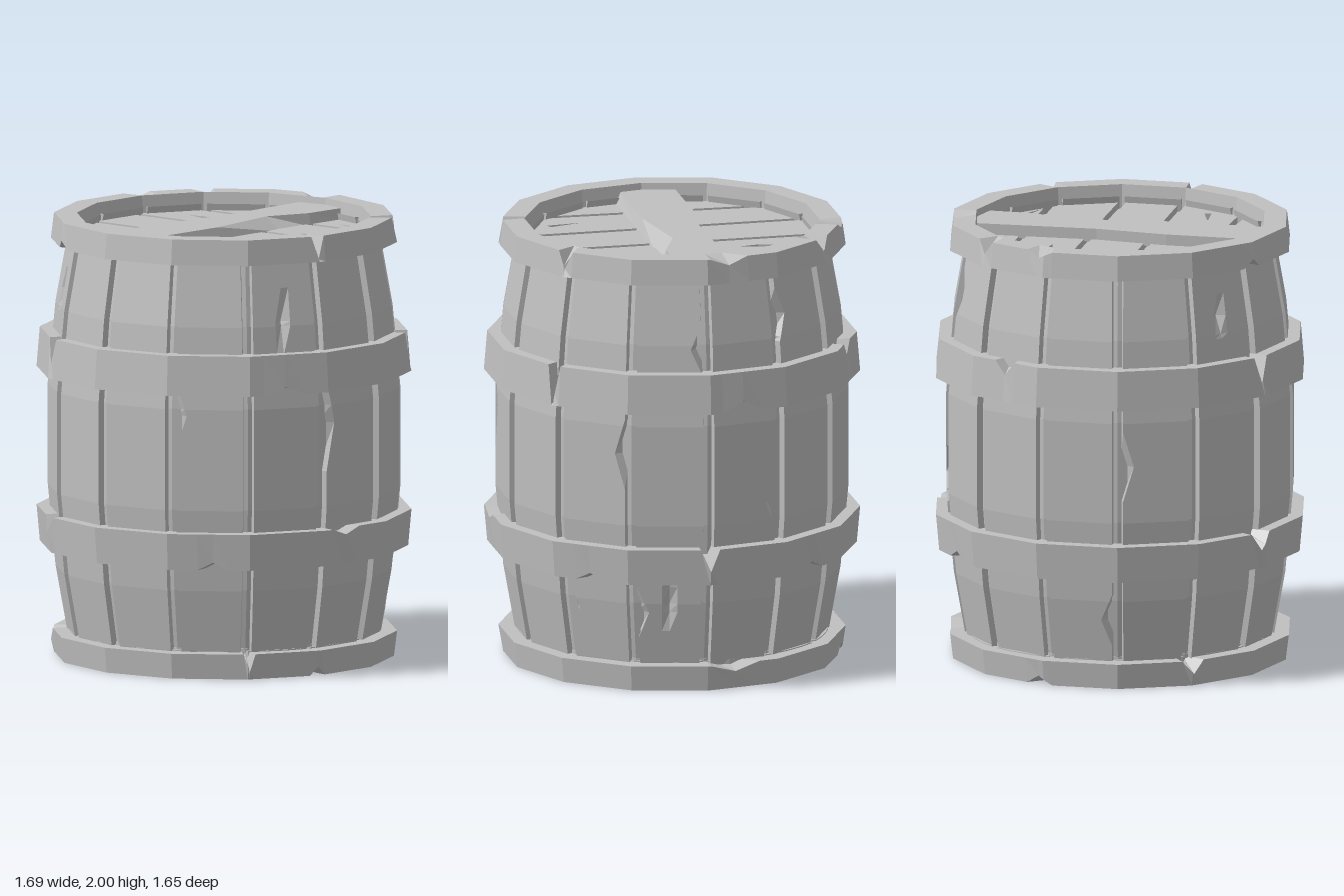
import * as THREE from 'three';

const SIDES = 14, STEP = (Math.PI * 2) / SIDES, DEG = Math.PI / 180;
const wood = new THREE.MeshStandardMaterial({ color: 0xc0c0c0, flatShading: true });
wood.name = 'grey wood';

function addMesh(parent, geometry, name) {
  const mesh = new THREE.Mesh(geometry, wood);
  mesh.name = name;
  parent.add(mesh);
  return mesh;
}

// Skins consecutive closed cross-sections with flat quads
function loft(sections, closed) {
  const pos = [];
  const last = closed ? sections.length : sections.length - 1;
  for (let i = 0; i < last; i++) {
    const s = sections[i], n = sections[(i + 1) % sections.length];
    for (let j = 0; j < s.length; j++) {
      const k = (j + 1) % s.length;
      pos.push(...s[j], ...s[k], ...n[k], ...s[j], ...n[k], ...n[j]);
    }
  }
  const g = new THREE.BufferGeometry();
  g.setAttribute('position', new THREE.Float32BufferAttribute(pos, 3));
  g.computeVertexNormals();
  return g;
}

// Distance from the axis to the side of the polygon at angle a
function polygonRadius(r, a) {
  const off = (((a % STEP) + STEP) % STEP) - STEP / 2;
  return (r * Math.cos(STEP / 2)) / Math.cos(off);
}

// Hoop with V nicks; each nick is [angle, half width, depth], depth > 0 cuts the top edge
function hoop({ y0, y1, r0, r1, inner, innerEnd = inner, nicks }) {
  const angles = new Set();
  for (let i = 0; i < SIDES; i++) angles.add(i * STEP);
  for (const [a, w] of nicks) for (const d of [-w, 0, w]) angles.add((((a + d) + 360) % 360) * DEG);
  const sections = [...angles].sort((a, b) => a - b).map((a) => {
    let top = y1, bottom = y0;
    for (const [na, w, depth] of nicks) {
      const d = Math.abs(((a / DEG - na + 540) % 360) - 180);
      const drop = depth * Math.max(0, 1 - d / w);
      if (drop > 0) top -= drop;
      else bottom -= drop;
    }
    const at = (r, y) => [polygonRadius(r, a) * Math.cos(a), y, polygonRadius(r, a) * Math.sin(a)];
    return [at(r0, bottom), at(r1, top), at(innerEnd, y1), at(inner, y0)];
  });
  return loft(sections, true);
}

// Bulging outline of the barrel: [y, radius]
const BULGE = [[0.05, 0.7], [0.12, 0.715], [0.4, 0.765], [0.77, 0.8],
  [1.23, 0.8], [1.6, 0.765], [1.88, 0.715], [1.95, 0.7]];

function bulgeAt(y) {
  const i = Math.max(1, BULGE.findIndex((p) => p[0] >= y));
  const [a, b] = [BULGE[i - 1], BULGE[i]];
  return a[1] + ((b[1] - a[1]) * (y - a[0])) / (b[0] - a[0]);
}

// Stave damage: [stave, side (-1, 1 edge chip, 0 centre crack), y, half height]
const DAMAGE = [[3, 1, 1.15, 0.22], [5, 1, 1.2, 0.15], [4, 0, 1.62, 0.15], [1, 1, 0.36, 0.14],
  [0, 1, 0.36, 0.12], [13, -1, 0.85, 0.13], [0, 0, 0.4, 0.13], [0, -1, 1.58, 0.11],
  [1, -1, 1.1, 0.16], [9, 1, 1.03, 0.16], [10, -1, 0.31, 0.12], [8, 0, 1.68, 0.1], [12, 1, 1.7, 0.12]];

function stave(index) {
  const marks = DAMAGE.filter((m) => m[0] === index);
  const rows = BULGE.map((p) => p[0]);
  for (const [, , y, h] of marks) rows.push(y - h, y, y + h);
  rows.sort((a, b) => a - b);
  const mid = (index + 0.5) * STEP, c = Math.cos(mid), s = Math.sin(mid);
  return loft(rows.map((y) => {
    const r = bulgeAt(y), ap = r * Math.cos(STEP / 2), half = r * Math.sin(STEP / 2) - 0.026;
    let left = -half, right = half, dent = 0;
    for (const [, side, my, h] of marks) {
      const f = Math.max(0, 1 - Math.abs(y - my) / h);
      if (side < 0) left += 0.05 * f;
      else if (side > 0) right -= 0.05 * f;
      else dent += 0.03 * f;
    }
    const at = (d, t) => [d * c - t * s, y, d * s + t * c];
    return [at(ap, right), at(ap, 0.035), at(ap - dent, 0), at(ap, -0.035), at(ap, left),
      at(ap - 0.06, -half), at(ap - 0.06, half)];
  }), false);
}

// Extrudes an x/z outline downwards from y = top
function slab(points, top, depth, holes = []) {
  const toPath = (list) => list.map(([x, z]) => new THREE.Vector2(x, -z));
  const shape = new THREE.Shape(toPath(points));
  for (const h of holes) shape.holes.push(new THREE.Path(toPath(h)));
  return new THREE.ExtrudeGeometry(shape, { depth, bevelEnabled: false })
    .rotateX(-Math.PI / 2).translate(0, top - depth, 0);
}

// Recessed head: planks along z, a backing disc and a crossbar along x
function makeHead(name) {
  const head = new THREE.Group();
  head.name = name;
  const gaps = [-0.69, -0.445, -0.155, 0.125, 0.425, 0.69];
  const slant = [0, 0, 0.04, 0.03, 0.04, 0];
  const cracks = [[], [[[-0.32, 0.35], [-0.27, 0.5], [-0.3, 0.51]]], [],
    [[[0.25, -0.46], [0.27, -0.37], [0.25, -0.25], [0.23, -0.35]]],
    [[[0.52, 0.22], [0.52, 0.3], [0.46, 0.42]]]];
  for (let i = 0; i < 5; i++) {
    const x0 = gaps[i] + (i ? 0.017 : 0), x1 = gaps[i + 1] - (i < 4 ? 0.017 : 0);
    const outline = [];
    for (const end of [1, -1]) {
      for (let k = 0; k <= 4; k++) {
        const x = end > 0 ? x0 + ((x1 - x0) * k) / 4 : x1 - ((x1 - x0) * k) / 4;
        const z = end * Math.sqrt(0.7 * 0.7 - x * x);
        const f = (x - x0) / (x1 - x0);
        outline.push([x + z * (slant[i] * (1 - f) + slant[i + 1] * f), z]);
      }
    }
    addMesh(head, slab(outline, 0, 0.04, cracks[i]), 'headPlank');
  }
  addMesh(head, new THREE.CylinderGeometry(0.69, 0.69, 0.02, SIDES, 1, false, Math.PI / 2)
    .translate(0, -0.04, 0), 'headBacking');

  // Crossbar with one broken edge that slopes out towards its base
  const bar = slab([[-0.66, -0.15], [-0.25, -0.15], [0.08, -0.115], [0.66, -0.135],
    [0.66, 0.125], [0.43, 0.12], [0.23, 0.045], [-0.15, 0.105], [-0.66, 0.1]], 0.05, 0.06);
  const p = bar.attributes.position;
  for (let i = 0; i < p.count; i++) {
    if (p.getY(i) < 0.02 && p.getZ(i) > 0) p.setZ(i, 0.13);
  }
  bar.computeVertexNormals();
  addMesh(head, bar, 'headCrossbar');
  return head;
}

export function createModel() {
  const barrel = new THREE.Group();
  barrel.name = 'barrel';

  // Inner wall seen in the grooves between the staves
  const wall = Array.from({ length: SIDES }, (_, i) => {
    const at = (r, y) => [r * Math.cos(i * STEP), y, r * Math.sin(i * STEP)];
    return [...BULGE.map(([y, r]) => at(r - 0.03, y)), at(0.66, 1.95), at(0.66, 0.05)];
  });
  addMesh(barrel, loft(wall, true), 'innerWall');

  const staves = new THREE.Group();
  staves.name = 'staves';
  for (let i = 0; i < SIDES; i++) addMesh(staves, stave(i), 'stave');
  barrel.add(staves);

  // Four hoops, bottom to top
  addMesh(barrel, hoop({ y0: 0, y1: 0.115, r0: 0.768, r1: 0.782, inner: 0.665, innerEnd: 0.65,
    nicks: [[128, 2, 0.08], [103, 3, -0.04], [350, 9, 0.035], [231, 4, 0.06], [285, 5, -0.04]] }), 'bottomHoop');
  addMesh(barrel, hoop({ y0: 0.505, y1: 0.67, r0: 0.832, r1: 0.847, inner: 0.7,
    nicks: [[95, 6, 0.03], [140, 5, -0.035], [39, 5, -0.035], [0, 3, 0.1], [321, 5, -0.035], [207, 4, 0.08]] }), 'lowerHoop');
  addMesh(barrel, hoop({ y0: 1.3, y1: 1.48, r0: 0.847, r1: 0.832, inner: 0.7,
    nicks: [[117, 7, -0.035], [52, 2.5, 0.165], [349, 7, -0.05], [296, 4, 0.06], [206, 3, 0.12]] }), 'upperHoop');
  addMesh(barrel, hoop({ y0: 1.885, y1: 2, r0: 0.782, r1: 0.768, inner: 0.65, innerEnd: 0.665,
    nicks: [[103, 2.5, 0.11], [51, 3, 0.08], [352, 7, 0.035], [309, 4, 0.06], [206, 4, -0.04], [285, 5, 0.03]] }), 'topHoop');

  // Heads closing both ends
  const topHead = makeHead('topHead');
  topHead.position.y = 1.92;
  const bottomHead = makeHead('bottomHead');
  bottomHead.position.y = 0.08;
  bottomHead.rotation.x = Math.PI;
  barrel.add(topHead, bottomHead);

  return barrel;
}
